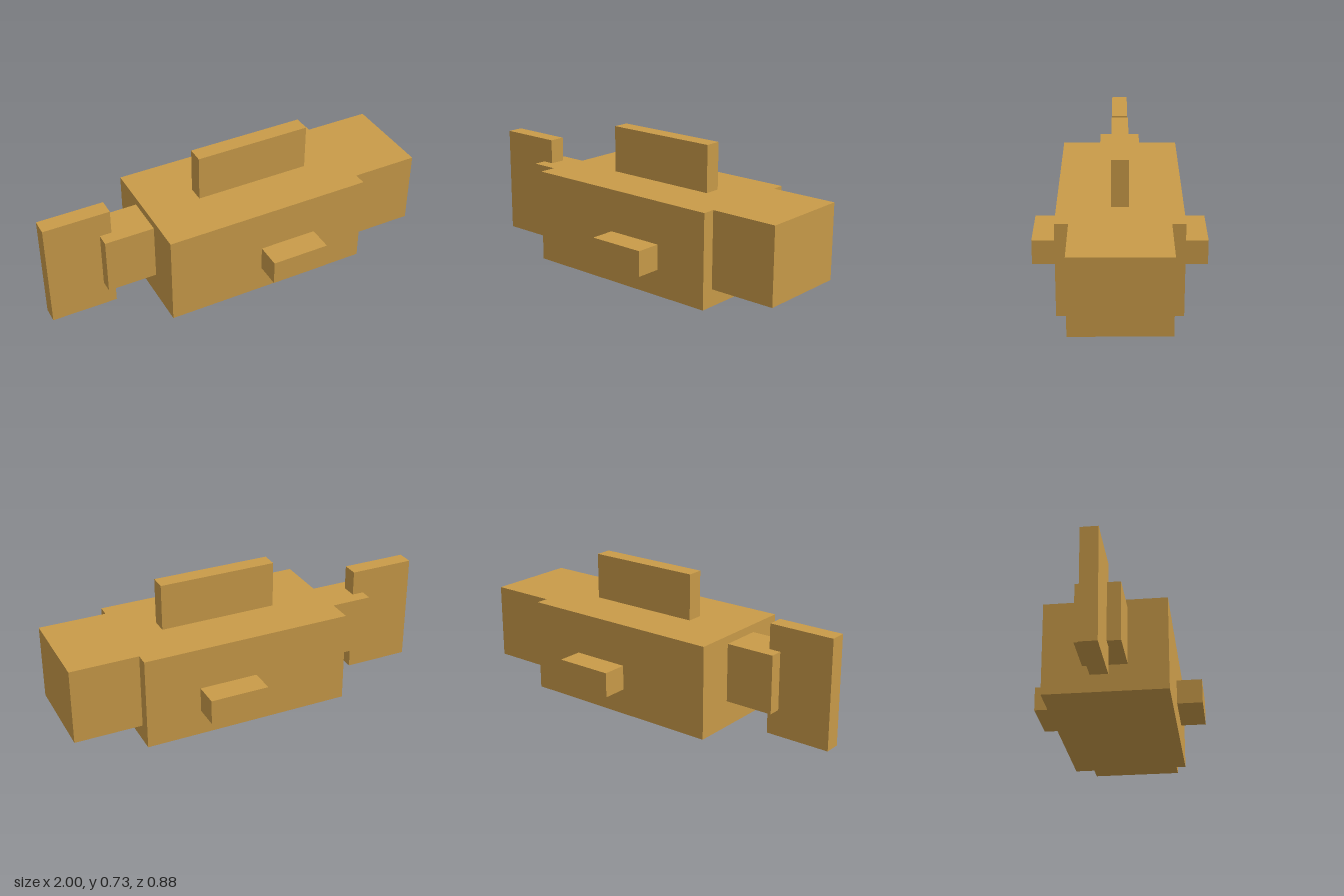
import * as THREE from 'three';

const golden = new THREE.MeshStandardMaterial({ color: 0xc99b49 });
golden.name = 'golden';

// Box given by its extents along each axis
function block(name, [x0, x1], [y0, y1], [z0, z1]) {
  const mesh = new THREE.Mesh(new THREE.BoxGeometry(x1 - x0, y1 - y0, z1 - z0), golden);
  mesh.position.set((x0 + x1) / 2, (y0 + y1) / 2, (z0 + z1) / 2);
  mesh.name = name;
  return mesh;
}

export function createModel() {
  const fish = new THREE.Group();
  fish.name = 'fish';

  // Head, body and tail along x
  fish.add(
    block('body', [-0.453, 0.648], [0, 0.484], [-0.308, 0.308]),
    block('head', [0.648, 1], [0.089, 0.484], [-0.242, 0.242]),
    block('tailBase', [-0.714, -0.453], [0.138, 0.442], [-0.11, 0.11]),
    block('tailFin', [-1, -0.652], [0, 0.573], [-0.043, 0.043]),
    block('dorsalFin', [-0.167, 0.449], [0.484, 0.727], [-0.043, 0.043])
  );

  // Fins on both flanks
  for (const side of [1, -1]) {
    const z = side > 0 ? [0.308, 0.44] : [-0.44, -0.308];
    fish.add(block(side > 0 ? 'frontSideFin' : 'backSideFin', [0.054, 0.361], [0.135, 0.265], z));
  }
  return fish;
}
